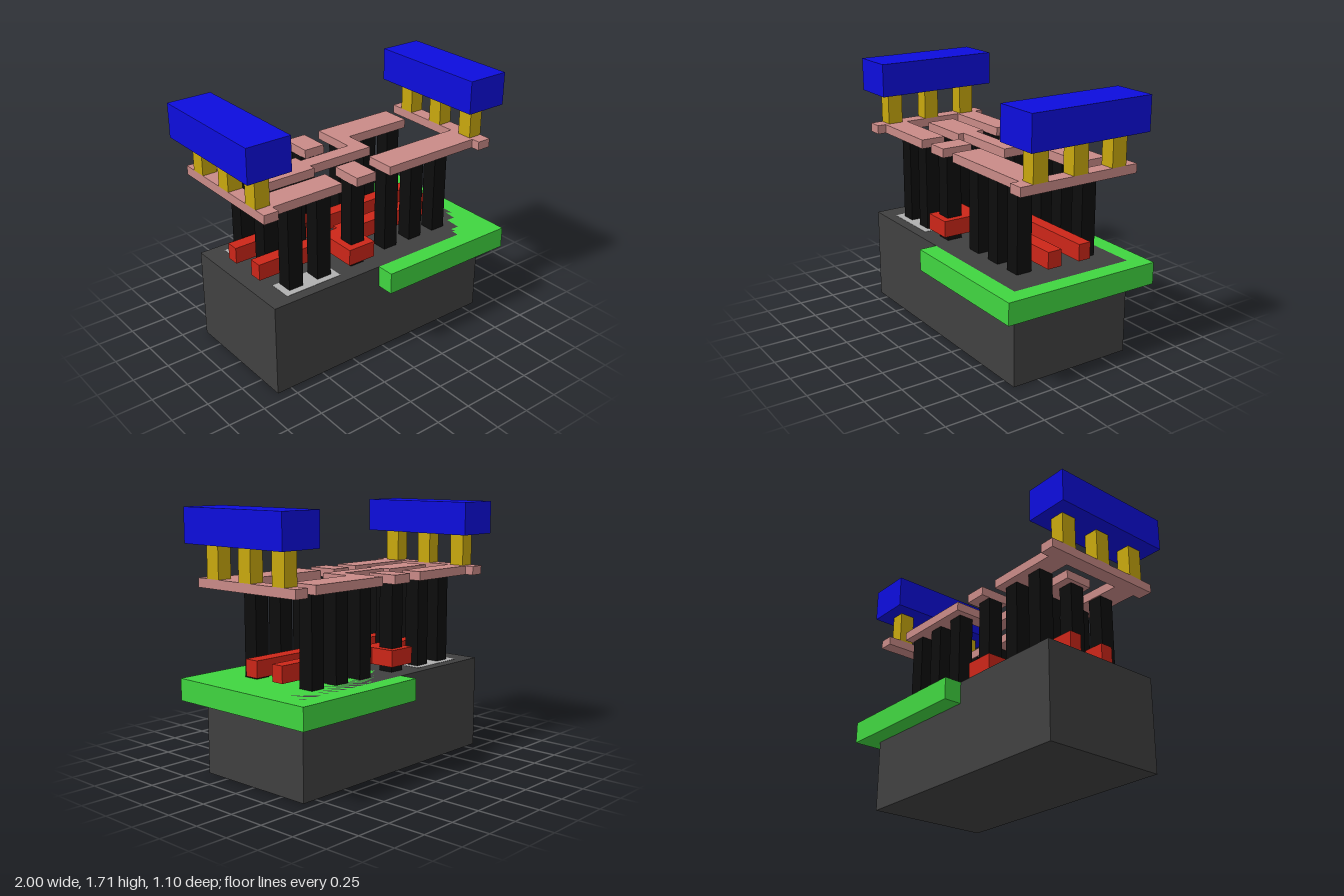
import * as THREE from 'three';

const material = (color) => new THREE.MeshStandardMaterial({ color, flatShading: true });
const silicon = material(0x404040), wellGreen = material(0x40d540), gateRed = material(0xcc2618);
const metalPink = material(0xc98a87), viaYellow = material(0xc8a80e), contactBlack = material(0x0d0d0d);
const railBlue = material(0x0d0ddd), paleGrey = material(0xb0b0b0);

export function createModel() {
  const model = new THREE.Group();

  // Box given by its limits on each axis
  const block = (name, mat, [x0, x1], [y0, y1], [z0, z1]) => {
    const mesh = new THREE.Mesh(new THREE.BoxGeometry(x1 - x0, y1 - y0, z1 - z0), mat);
    mesh.position.set((x0 + x1) / 2, (y0 + y1) / 2, (z0 + z1) / 2);
    mesh.name = name;
    model.add(mesh);
  };

  // Flat slab cut from an [x, z] outline
  const slab = (name, mat, [y0, y1], outline) => {
    const shape = new THREE.Shape(outline.map(([x, z]) => new THREE.Vector2(x, -z)));
    const geometry = new THREE.ExtrudeGeometry(shape, { depth: y1 - y0, bevelEnabled: false });
    geometry.rotateX(-Math.PI / 2).translate(0, y0, 0);
    const mesh = new THREE.Mesh(geometry, mat);
    mesh.name = name;
    model.add(mesh);
  };

  // Substrate, well and the pale diffusion patches
  block('substrate', silicon, [-0.85, 0.85], [0, 0.625], [-0.43, 0.43]);
  block('well', wellGreen, [-0.04, 0.965], [0.48, 0.625], [-0.55, 0.55]);
  block('frontDiffusion', paleGrey, [-0.71, -0.3], [0.6, 0.627], [0.2, 0.36]);
  block('backDiffusion', paleGrey, [-0.71, -0.3], [0.6, 0.627], [-0.36, -0.2]);

  // Gate strips, each with a landing arm
  const gateY = [0.67, 0.78];
  slab('frontGate', gateRed, gateY, [
    [-0.78, 0.075], [-0.11, 0.075], [-0.11, 0.035], [0.78, 0.035], [0.78, 0.135],
    [-0.03, 0.135], [-0.03, 0.365], [-0.23, 0.365], [-0.23, 0.165], [-0.78, 0.165],
  ]);
  slab('backGate', gateRed, gateY, [
    [-0.78, -0.1], [0.78, -0.1], [0.78, -0.187], [-0.03, -0.187],
    [-0.03, -0.36], [-0.23, -0.36], [-0.23, -0.187], [-0.78, -0.187],
  ]);

  // Contact columns
  const column = (x, z) =>
    block('contactColumn', contactBlack, [x - 0.052, x + 0.052], [0.625, 1.21], [z - 0.053, z + 0.053]);
  for (const x of [-0.61, -0.395]) [0.262, 0, -0.265].forEach((z) => column(x, z));
  for (const z of [0.262, -0.265]) column(-0.128, z);
  for (const x of [0.183, 0.398, 0.608]) [0.225, -0.265].forEach((z) => column(x, z));

  // Metal layer
  const metalY = [1.21, 1.27];
  slab('leftMetal', metalPink, metalY, [
    [-0.9, -0.43], [-0.8, -0.43], [-0.8, -0.37], [-0.295, -0.37], [-0.295, -0.22], [-0.8, -0.22],
    [-0.8, 0.2], [-0.295, 0.2], [-0.295, 0.37], [-0.8, 0.37], [-0.8, 0.43], [-0.9, 0.43],
  ]);
  slab('rightMetal', metalPink, metalY, [
    [0.9, -0.43], [0.9, 0.43], [0.8, 0.43], [0.8, 0.37], [0.085, 0.37],
    [0.085, 0.165], [0.8, 0.165], [0.8, -0.43],
  ]);
  slab('outputMetal', metalPink, metalY, [
    [-0.69, -0.11], [-0.295, -0.11], [-0.295, -0.055], [0.085, -0.055], [0.085, -0.375],
    [0.68, -0.375], [0.68, -0.17], [0.187, -0.17], [0.187, 0.048], [-0.295, 0.048],
    [-0.295, 0.09], [-0.69, 0.09],
  ]);
  block('frontGatePad', metalPink, [-0.18, -0.03], metalY, [0.155, 0.37]);
  block('backGatePad', metalPink, [-0.18, -0.03], metalY, [-0.38, -0.165]);

  // Upper posts and power rails on both sides
  for (const s of [-1, 1]) {
    for (const z of [-0.29, 0, 0.29])
      block('post', viaYellow, [s * 0.85 - 0.05, s * 0.85 + 0.05], [1.27, 1.487], [z - 0.053, z + 0.053]);
    block('powerRail', railBlue, [s * 0.85 - 0.15, s * 0.85 + 0.15], [1.487, 1.71], [-0.43, 0.43]);
  }
  return model;
}
